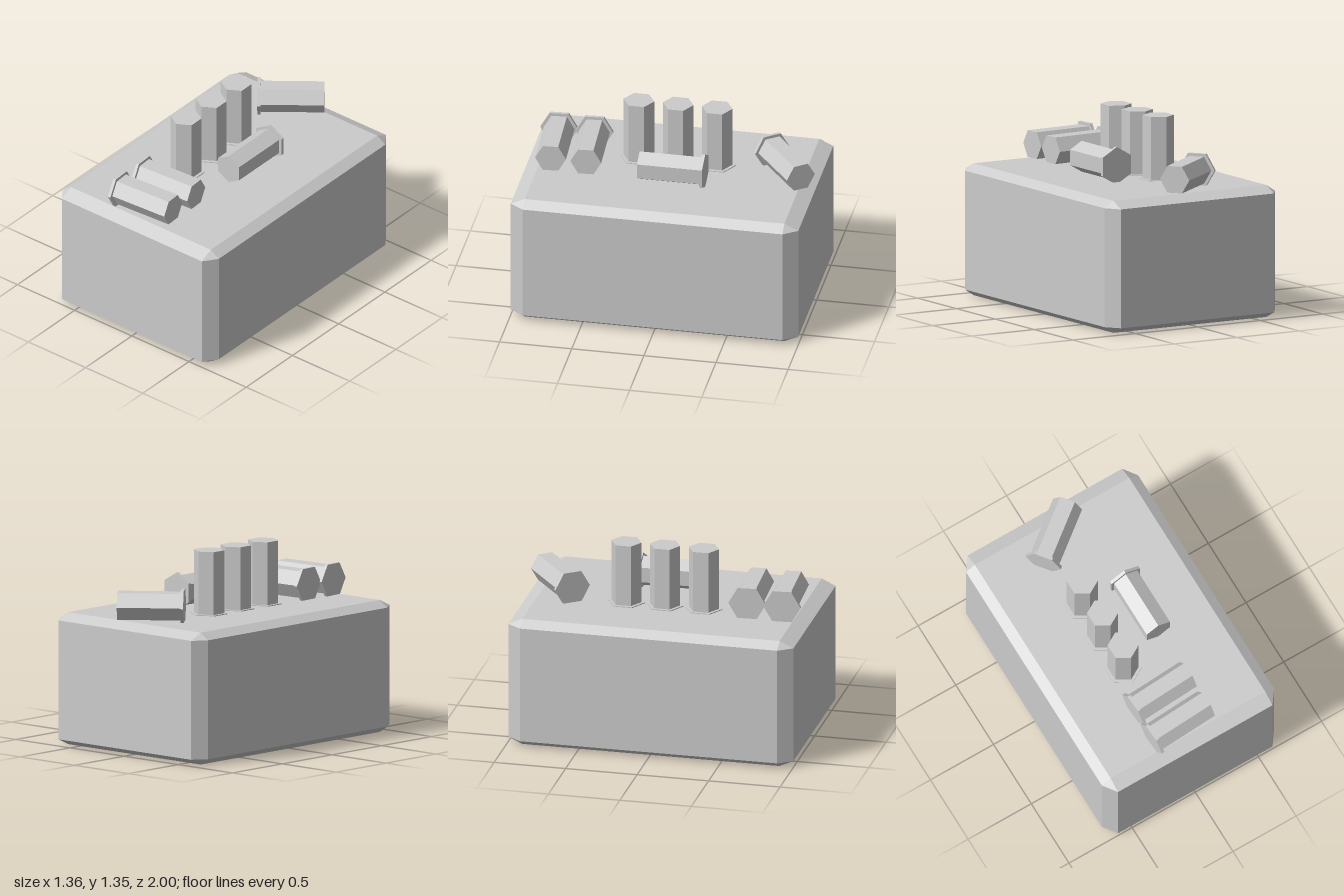
import * as THREE from 'three';
import { ConvexGeometry } from 'three/addons/geometries/ConvexGeometry.js';

const material = new THREE.MeshStandardMaterial({ color: 0xcccccc, flatShading: true });

// Box with every edge and corner cut, spanning the given half sizes
function chamferedBox(half, cut) {
  const points = [];
  for (const sx of [-1, 1]) for (const sy of [-1, 1]) for (const sz of [-1, 1]) {
    for (let axis = 0; axis < 3; axis++) {
      const c = half.map((h, i) => (i === axis ? h : h - cut[i]));
      points.push(new THREE.Vector3(sx * c[0], sy * c[1], sz * c[2]));
    }
  }
  return new ConvexGeometry(points);
}

// Six-sided casing standing on its rim at the local origin
function makeCasing(name) {
  const length = 0.455, rimHeight = 0.022;
  const casing = new THREE.Group();
  casing.name = name;
  const rim = new THREE.Mesh(new THREE.CylinderGeometry(0.129, 0.129, rimHeight, 6), material);
  rim.name = 'rim';
  rim.position.y = rimHeight / 2;
  const body = new THREE.Mesh(new THREE.CylinderGeometry(0.106, 0.106, length - rimHeight, 6), material);
  body.name = 'casingBody';
  body.position.y = (length + rimHeight) / 2;
  casing.add(rim, body);
  return casing;
}

export function createModel() {
  const model = new THREE.Group();
  model.name = 'casingsOnBlock';

  // Chamfered block
  const block = new THREE.Mesh(chamferedBox([0.682, 0.455, 0.997], [0.07, 0.045, 0.097]), material);
  block.name = 'block';
  block.position.set(0, 0.456, 0.003);
  model.add(block);

  // Row of upright casings, rims sunk into the block top
  for (const z of [-0.285, -0.015, 0.257]) {
    const casing = makeCasing('uprightCasing');
    casing.position.set(-0.127, 0.895, z);
    model.add(casing);
  }

  // Casings lying on a flat side: rim position x, z and turn about y
  for (const [x, z, turn] of [[-0.25, 0.832, 0.06], [-0.247, 0.587, 0.06], [-0.225, -0.638, 0.66]]) {
    const casing = makeCasing('lyingCasing');
    casing.position.set(x, 1.017, z);
    casing.rotation.set(0, turn, -Math.PI / 2, 'YXZ');
    model.add(casing);
  }

  // Casing lying lengthwise, resting on an edge
  const lengthwise = makeCasing('lengthwiseCasing');
  lengthwise.position.set(0.192, 1.025, -0.265);
  lengthwise.rotation.x = Math.PI / 2;
  model.add(lengthwise);

  return model;
}
